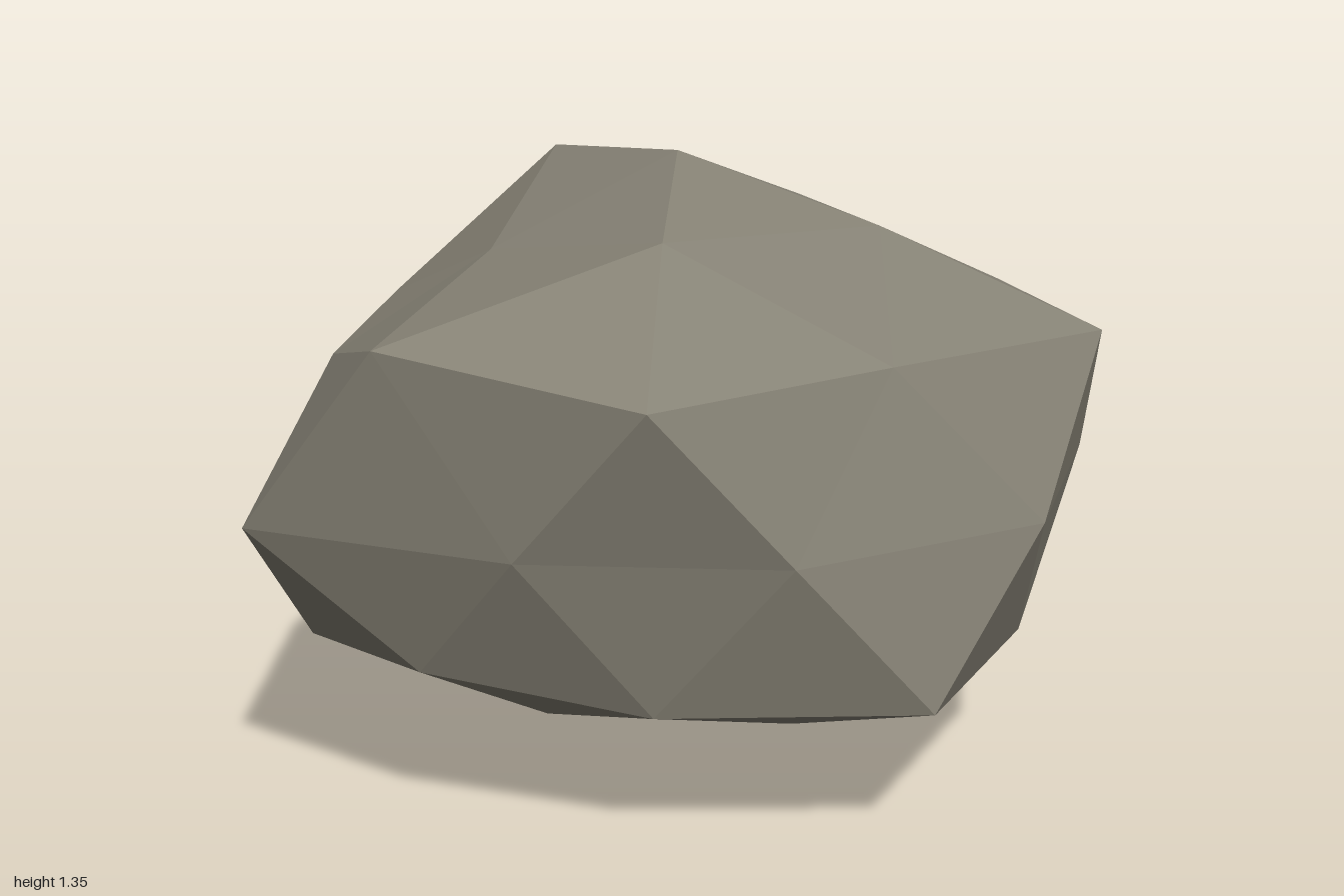
import * as THREE from 'three';

// Rings from top to bottom: unit radius, unit height, start angle in degrees,
// and a radial push for each vertex (angles run from +x towards +z).
const RINGS = [
  { rad: 0.5257, h: 0.8507, start: 0, push: [0.915, 0.925, 0.96, 0.83, 1.105] },
  { rad: [0.8944, 0.8507], h: [0.4472, 0.5257], start: 0,
    push: [0.92, 0.965, 1.115, 0.945, 1.045, 1.1, 0.89, 0.885, 0.865, 1.12] },
  { rad: 1, h: 0, start: 18,
    push: [1.03, 0.97, 0.995, 0.917, 0.885, 1.07, 0.91, 0.925, 1.003, 0.873] },
  { rad: [0.8507, 0.8944], h: [-0.5257, -0.4472], start: 0,
    push: [0.995, 1.015, 1.0, 1.09, 0.94, 0.945, 1.03, 1.125, 0.96, 1.03] },
  { rad: 0.5257, h: -0.8507, start: 36, push: [0.935, 0.92, 0.89, 1.07, 0.91] },
];
const CENTRE = new THREE.Vector3(0.02, 0.672, -0.02);
const SCALE = new THREE.Vector3(1, 0.68, 0.945);

const place = (x, y, z) => new THREE.Vector3(x, y, z).multiply(SCALE).add(CENTRE);
const pick = (v, i) => (Array.isArray(v) ? v[i % 2] : v);

function ringPoints({ rad, h, start, push }) {
  return push.map((f, i) => {
    const a = THREE.MathUtils.degToRad(start + (360 / push.length) * i);
    return place(f * pick(rad, i) * Math.cos(a), f * pick(h, i), f * pick(rad, i) * Math.sin(a));
  });
}

function boulderGeometry() {
  const [cap, upper, belt, lower, base] = RINGS.map(ringPoints);
  const top = place(0, 1, 0);
  const bottom = place(0, -0.988, 0);
  const at = (ring, i) => ring[(i + ring.length) % ring.length];
  const points = [];
  const tri = (...p) => points.push(...p);

  // Top and bottom caps
  for (let k = 0; k < 5; k++) {
    const j = 2 * k;
    const c = cap[k], cNext = at(cap, k + 1);
    tri(top, cNext, c);
    tri(c, upper[j + 1], upper[j]);
    tri(c, cNext, upper[j + 1]);
    tri(cNext, at(upper, j + 2), upper[j + 1]);

    const b = base[k], bNext = at(base, k + 1);
    tri(lower[j], lower[j + 1], b);
    tri(lower[j + 1], at(lower, j + 2), b);
    tri(at(lower, j + 2), bNext, b);
    tri(b, bNext, bottom);
  }
  // Sides above and below the belt
  for (let j = 0; j < 10; j++) {
    tri(upper[j], at(upper, j + 1), belt[j]);
    tri(upper[j], belt[j], at(belt, j - 1));
    tri(belt[j], at(lower, j + 1), lower[j]);
    tri(at(belt, j - 1), belt[j], lower[j]);
  }

  const geometry = new THREE.BufferGeometry().setFromPoints(points);
  geometry.computeVertexNormals();
  return geometry;
}

export function createModel() {
  const group = new THREE.Group();
  group.name = 'rock';
  const stone = new THREE.MeshStandardMaterial({ color: 0x858174 });
  stone.name = 'stone grey';
  stone.flatShading = true;
  const boulder = new THREE.Mesh(boulderGeometry(), stone);
  boulder.name = 'boulder';
  group.add(boulder);
  return group;
}
